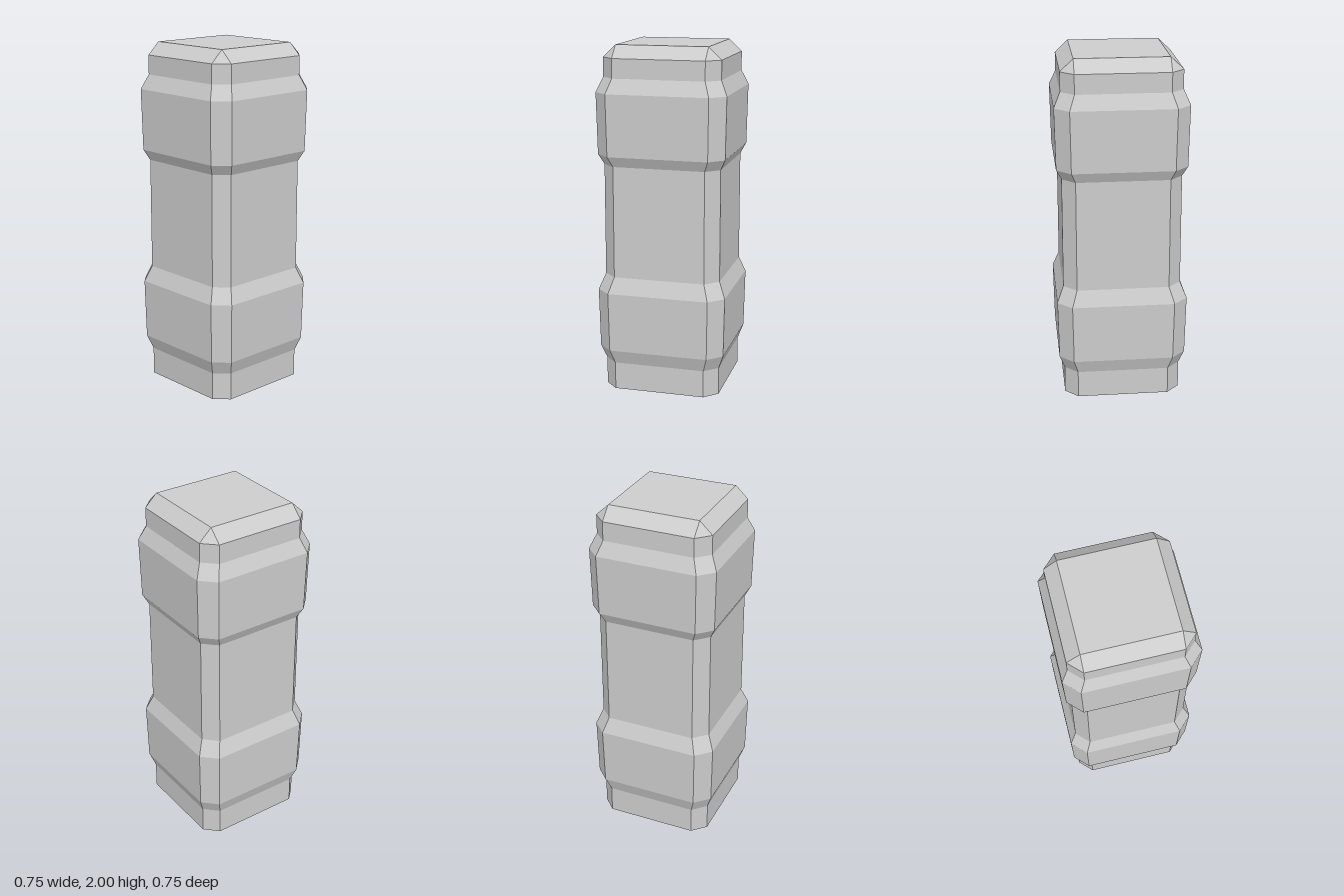
import * as THREE from 'three';

// Corner-cut square ring: half = half width, flat = half length of each straight side
function ring([y, half, flat]) {
  return [
    [half, flat], [flat, half], [-flat, half], [-half, flat],
    [-half, -flat], [-flat, -half], [flat, -half], [half, -flat],
  ].map(([x, z]) => [x, y, z]);
}

// Skins a stack of rings, optionally closing the bottom or top
function loft(sections, { closeBottom = false, closeTop = false } = {}) {
  const rings = sections.map(ring);
  const positions = [];
  const tri = (...points) => points.forEach((p) => positions.push(...p));
  for (let i = 0; i < rings.length - 1; i++) {
    for (let j = 0; j < 8; j++) {
      const k = (j + 1) % 8;
      const a = rings[i][k], b = rings[i][j];
      const c = rings[i + 1][j], d = rings[i + 1][k];
      tri(a, b, c);
      tri(a, c, d);
    }
  }
  const bottom = rings[0], top = rings[rings.length - 1];
  for (let j = 1; j < 7; j++) {
    if (closeBottom) tri(bottom[0], bottom[j], bottom[j + 1]);
    if (closeTop) tri(top[0], top[j + 1], top[j]);
  }
  const geometry = new THREE.BufferGeometry();
  geometry.setAttribute('position', new THREE.Float32BufferAttribute(positions, 3));
  geometry.computeVertexNormals();
  return geometry;
}

export function createModel() {
  const group = new THREE.Group();
  group.name = 'pillar';
  const stone = new THREE.MeshStandardMaterial({ color: 0xcccccc, flatShading: true });
  stone.name = 'grey stone';

  const add = (name, sections, caps) => {
    const mesh = new THREE.Mesh(loft(sections, caps), stone);
    mesh.name = name;
    group.add(mesh);
  };

  const W = 0.338, F = 0.264; // plain column section

  // Foot and shaft
  add('foot', [[0, W, F], [0.16, W, F]], { closeBottom: true });
  add('shaft', [[0.68, W, F], [1.325, W, F]]);

  // Two swollen bands, slightly wider towards the top
  const band = (name, y0, y1, y2, y3) =>
    add(name, [[y0, W, F], [y1, 0.368, 0.288], [y2, 0.375, 0.293], [y3, W, F]]);
  band('lowerBand', 0.16, 0.242, 0.588, 0.68);
  band('upperBand', 1.325, 1.385, 1.737, 1.82);

  // Cap bevelled to a square top
  add('cap', [[1.82, W, F], [1.93, W, F], [2, F, F]], { closeTop: true });

  return group;
}
